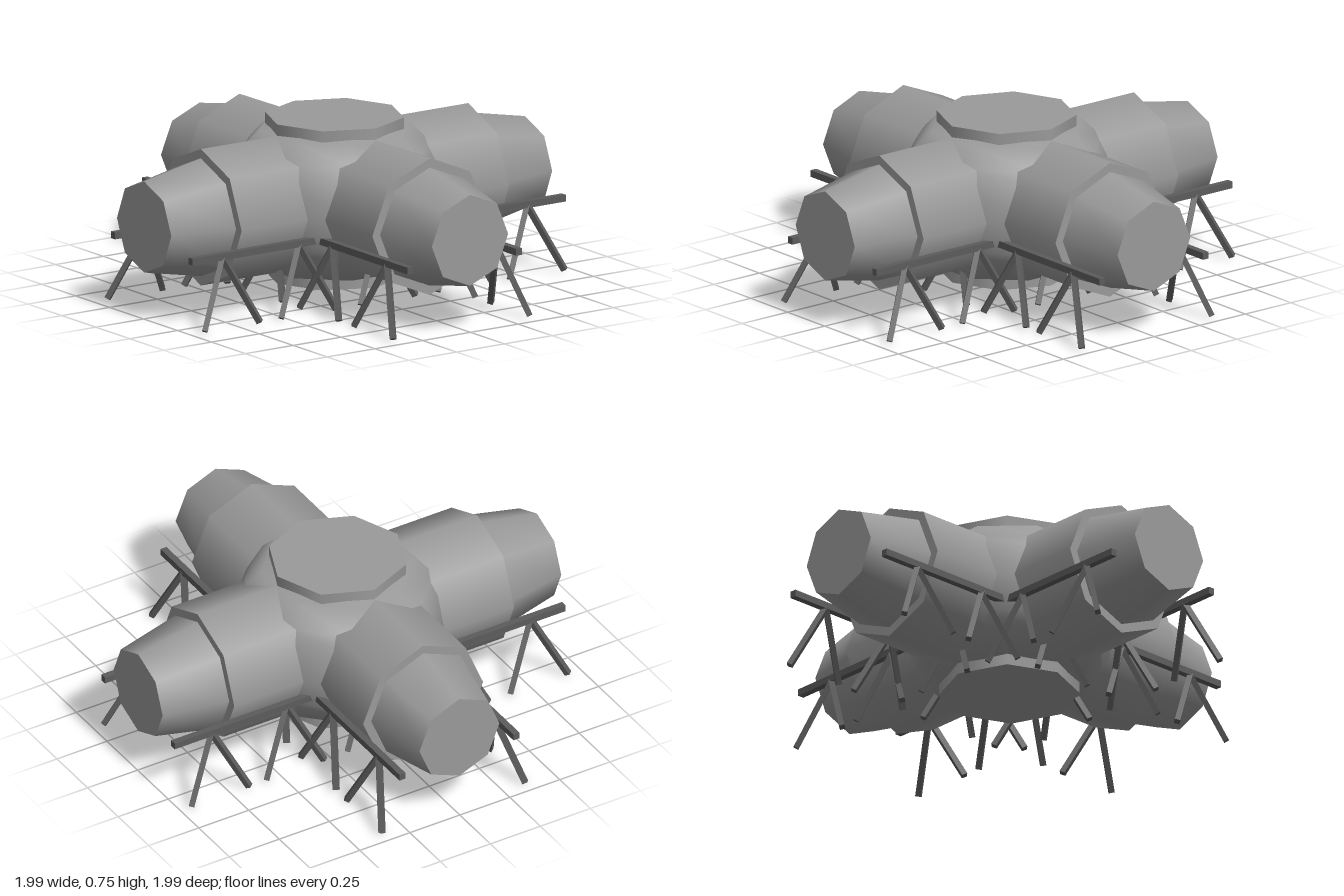
import * as THREE from 'three';

const body = new THREE.MeshStandardMaterial({ color: 0x9a9a9a });
body.name = 'hullGrey';
const strut = new THREE.MeshStandardMaterial({ color: 0x5c5c5c });
strut.name = 'strutGrey';

const MID = 0.405; // height of the arm axes

function add(parent, name, geometry, material) {
  const mesh = new THREE.Mesh(geometry, material);
  mesh.name = name;
  parent.add(mesh);
  return mesh;
}

// Square bar between two points
function bar(parent, name, a, b, width) {
  const mesh = add(parent, name, new THREE.BoxGeometry(width, a.distanceTo(b), width), strut);
  mesh.position.copy(a).add(b).multiplyScalar(0.5);
  mesh.quaternion.setFromUnitVectors(new THREE.Vector3(0, 1, 0), b.clone().sub(a).normalize());
  return mesh;
}

// One octagonal tube along x with tapered ends, a rail on each side and splayed leg pairs
function makeCrossTube() {
  const group = new THREE.Group();
  const tube = add(group, 'armTube', new THREE.CylinderGeometry(0.3, 0.3, 1.4, 8), body);
  tube.rotation.z = Math.PI / 2;
  tube.position.y = MID;

  for (const side of [-1, 1]) {
    const nose = add(group, 'taperedEnd', new THREE.CylinderGeometry(0.2, 0.26, 0.3, 8), body);
    nose.rotation.z = -side * Math.PI / 2;
    nose.position.set(side * 0.847, MID, 0);

    const rail = add(group, 'rail', new THREE.BoxGeometry(1.955, 0.03, 0.03), strut);
    rail.position.set(0.02, 0.305, side * 0.285);

    for (const x of [-0.79, -0.39, 0.025, 0.43, 0.805]) {
      for (const lean of [-1, 1]) {
        bar(group, 'leg',
          new THREE.Vector3(x, 0.3, side * 0.285),
          new THREE.Vector3(x + lean * 0.144, 0.009, side * 0.358), 0.024);
      }
    }
  }
  return group;
}

export function createModel() {
  const model = new THREE.Group();
  model.name = 'crossShapedStation';

  // Two crossing tubes
  const lengthwise = makeCrossTube();
  lengthwise.name = 'sideArms';
  const crosswise = makeCrossTube();
  crosswise.name = 'frontAndBackArms';
  crosswise.rotation.y = Math.PI / 2;
  model.add(lengthwise, crosswise);

  // Rounded eight-sided hub filling the corners between the arms
  const half = [[0.5, 0], [0.455, 0.15], [0.42, 0.212], [0.33, 0.3], [0, 0.33]];
  const profile = [
    ...half.slice(1).reverse().map(([r, y]) => new THREE.Vector2(r, -y)),
    ...half.map(([r, y]) => new THREE.Vector2(r, y)),
  ];
  const hub = add(model, 'hub', new THREE.LatheGeometry(profile, 8, Math.PI / 8), body);
  hub.position.y = MID;

  // Flat octagonal hatches above and below the hub
  for (const side of [-1, 1]) {
    const hatch = add(model, side > 0 ? 'topHatch' : 'bottomHatch',
      new THREE.CylinderGeometry(0.3, 0.3, 0.06, 8), body);
    hatch.position.y = MID + side * 0.32;
  }
  return model;
}
